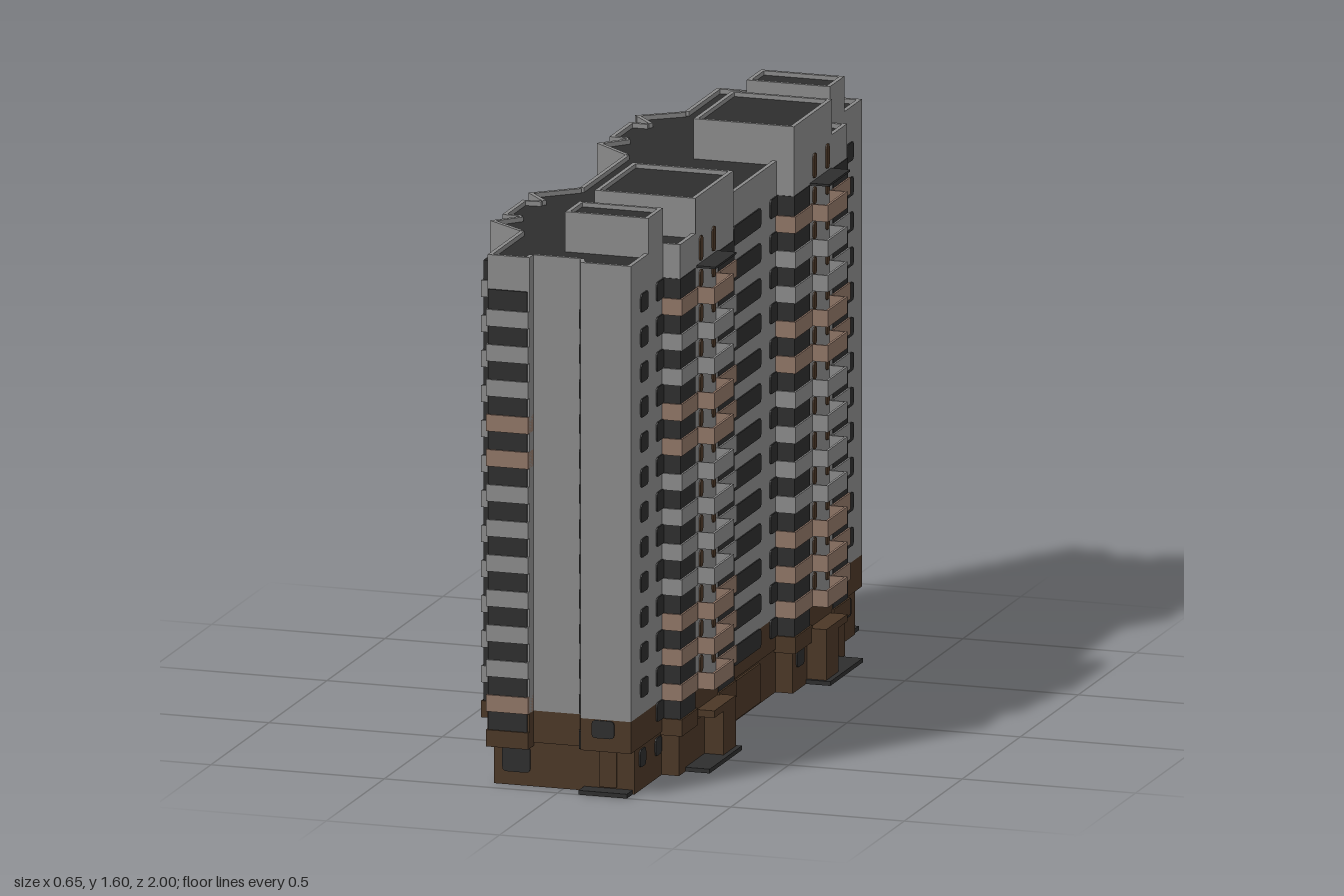
import * as THREE from 'three';
import { mergeGeometries } from 'three/addons/utils/BufferGeometryUtils.js';

const paint = (name, color) => {
  const m = new THREE.MeshStandardMaterial({ color, side: THREE.DoubleSide });
  m.name = name;
  return m;
};

export function createModel() {
  const mats = {
    concrete: paint('concrete grey', 0x8a8a8a),
    dark: paint('glass and roof charcoal', 0x2d2d2d),
    brown: paint('plinth brown', 0x4b3726),
    tan: paint('balcony tan', 0x8f7566),
  };

  // Pieces are gathered by part name and colour, then merged
  const parts = new Map();
  const add = (name, mat, geo) => {
    const key = name + '|' + mat;
    if (!parts.has(key)) parts.set(key, []);
    parts.get(key).push(geo.index ? geo.toNonIndexed() : geo);
  };
  const box = (name, mat, x0, x1, y0, y1, z0, z1) =>
    add(name, mat, new THREE.BoxGeometry(x1 - x0, y1 - y0, z1 - z0)
      .translate((x0 + x1) / 2, (y0 + y1) / 2, (z0 + z1) / 2));
  // Box copied to both ends of the building
  const pair = (name, mat, x0, x1, y0, y1, z0, z1) => {
    box(name, mat, x0, x1, y0, y1, z0, z1);
    box(name, mat, x0, x1, y0, y1, -z1, -z0);
  };

  // Thin plate with rounded corners on a wall, turned by angle about y
  const plate = (name, mat, x, y, z, w, h, angle, r = 0.012) => {
    const s = new THREE.Shape(), a = w / 2, b = h / 2;
    s.moveTo(-a + r, -b).lineTo(a - r, -b).quadraticCurveTo(a, -b, a, -b + r);
    s.lineTo(a, b - r).quadraticCurveTo(a, b, a - r, b);
    s.lineTo(-a + r, b).quadraticCurveTo(-a, b, -a, b - r);
    s.lineTo(-a, -b + r).quadraticCurveTo(-a, -b, -a + r, -b);
    add(name, mat, new THREE.ExtrudeGeometry(s, { depth: 0.008, bevelEnabled: false, curveSegments: 3 })
      .translate(0, 0, -0.004).rotateY(angle).translate(x, y, z));
  };
  const platePair = (name, mat, x, y, z, w, h, angle, r) => {
    plate(name, mat, x, y, z, w, h, angle, r);
    const cos = Math.cos(angle), sin = Math.sin(angle);
    plate(name, mat, x, y, -z, w, h, Math.atan2(sin, -cos), r);
  };

  // Upright walls along a closed outline of [x, z] points
  const walls = (name, mat, pts, y0, y1) => {
    const p = [], uv = [];
    pts.forEach(([ax, az], i) => {
      const [bx, bz] = pts[(i + 1) % pts.length];
      p.push(ax, y0, az, ax, y1, az, bx, y0, bz, ax, y1, az, bx, y1, bz, bx, y0, bz);
      uv.push(0, 0, 0, 1, 1, 0, 0, 1, 1, 1, 1, 0);
    });
    const g = new THREE.BufferGeometry();
    g.setAttribute('position', new THREE.Float32BufferAttribute(p, 3));
    g.setAttribute('uv', new THREE.Float32BufferAttribute(uv, 2));
    g.computeVertexNormals();
    add(name, mat, g);
  };
  const vec = pts => pts.map(([x, z]) => new THREE.Vector2(x, -z));
  const slab = (name, mat, pts, y, hole) => {
    const s = new THREE.Shape(vec(pts));
    if (hole) s.holes.push(new THREE.Path(vec(hole)));
    add(name, mat, new THREE.ShapeGeometry(s).rotateX(-Math.PI / 2).translate(0, y, 0));
  };
  // Raised rim around a flat roof
  const rim = (name, pts, y0, y1, t) => pts.forEach(([ax, az], i) => {
    const [bx, bz] = pts[(i + 1) % pts.length];
    const len = Math.hypot(bx - ax, bz - az);
    add(name, 'concrete', new THREE.BoxGeometry(len, y1 - y0, t).translate(0, 0, -t / 2)
      .rotateY(Math.atan2(bz - az, -(bx - ax)))
      .translate((ax + bx) / 2, (y0 + y1) / 2, (az + bz) / 2));
  });
  const mirror = half => [...half, ...half.map(([x, z]) => [x, -z]).reverse()];

  // Main body and overhanging plinth
  const outline = mirror([
    [0.21, 0.26], [0.26, 0.26], [0.26, 0.72], [0.21, 0.72], [0.21, 0.995], [0.065, 0.995],
    [0.05, 0.955], [-0.085, 0.955], [-0.085, 0.99], [-0.205, 0.99], [-0.205, 0.71],
    [-0.32, 0.625], [-0.255, 0.55], [-0.31, 0.55], [-0.31, 0.375], [-0.255, 0.37],
    [-0.32, 0.295], [-0.205, 0.195],
  ]);
  const foot = mirror([
    [0.205, 0.265], [0.255, 0.265], [0.255, 0.715], [0.205, 0.715], [0.205, 0.95],
    [-0.2, 0.95], [-0.2, 0.69], [-0.25, 0.65], [-0.25, 0.29], [-0.2, 0.215],
  ]);
  walls('mainWalls', 'concrete', outline, 0.215, 1.5);
  walls('plinthUpper', 'brown', outline, 0.125, 0.215);
  walls('plinthLower', 'brown', foot, 0, 0.125);
  slab('plinthSoffit', 'brown', outline, 0.125, foot);
  slab('roof', 'dark', outline, 1.487);
  rim('roofParapet', outline, 1.48, 1.5, 0.012);

  // Rooftop machine rooms
  for (const [x1, za, zb] of [[0.26, 0.26, 0.59], [0.21, 0.72, 0.845]]) {
    for (const s of [1, -1]) {
      const [z0, z1] = s > 0 ? [za, zb] : [-zb, -za];
      const rect = [[x1, z0], [x1, z1], [-0.03, z1], [-0.03, z0]];
      walls('roofRoom', 'concrete', rect, 1.48, 1.6);
      slab('roofRoomTop', 'dark', rect, 1.588);
      rim('roofRoomParapet', rect, 1.58, 1.6, 0.012);
    }
  }
  platePair('roofDoor', 'dark', -0.03, 1.53, 0.425, 0.06, 0.07, -Math.PI / 2, 0.004);
  for (const z of [0.545, 0.435]) platePair('roofRoomWindow', 'brown', 0.26, 1.45, z, 0.026, 0.07, Math.PI / 2);

  const E = Math.PI / 2, W = -Math.PI / 2;
  const tanMany = [1, 2, 3, 8, 9, 12], tanFew = [1, 8, 9];
  const shade = (i, list) => (i === 0 ? 'brown' : list.includes(i) ? 'tan' : 'concrete');

  // Glazed bay: dark band with a solid parapet below it
  const bay = (i, y, x0, x1, z0, z1, list) => {
    const t = 0.005;
    pair('bayGlazing', 'dark', x0, x1, y - 0.028, y + 0.028, z0, z1);
    pair('bayParapet', shade(i, list), x0 - t, x1 + t, y - 0.075, y - 0.028, z0 - t, z1 + t);
  };

  for (let i = 0; i <= 12; i++) {
    const y = 0.19 + 0.0988 * i;
    // Corner loggias and bays on the -x side
    bay(i, y, -0.202, -0.09, 0.9, 0.995, tanFew);
    bay(i, y, -0.318, -0.265, 0.6, 0.688, []);
    bay(i, y, -0.322, -0.25, 0.38, 0.545, tanFew);
    // Corner bays beside the stair balconies
    bay(i, y, 0.2, 0.262, 0.592, 0.722, tanMany);
    bay(i, y, 0.2, 0.262, 0.258, 0.395, tanMany);
    platePair('sideWindow', 'dark', 0.21, y, 0.75, 0.06, 0.054, E);
    platePair('sideWindow', 'dark', 0.21, y, 0.23, 0.06, 0.054, E);
    plate('middleWindow', 'dark', 0.21, y, 0, 0.235, 0.054, E);
    if (i > 0) platePair('endWindow', 'dark', 0.21, y, 0.885, 0.06, 0.052, E);
    // Single windows on the -x side
    for (const z of [0.055, 0.15, 0.79]) platePair('rearWindow', 'dark', -0.205, y, z, 0.055, 0.054, W);
    // Slit windows in the end recess
    platePair('slitWindow', 'dark', 0.0575, y - 0.04, 0.975, 0.02, 0.05, -1.21, 0.003);
    if (i === 0) continue;
    // Stair balconies with small round-topped openings
    const c = shade(i, tanMany), b = y - 0.075, t = b + 0.047;
    pair('balconyFloor', c, 0.255, 0.31, b, b + 0.007, 0.405, 0.575);
    pair('balconyFront', c, 0.303, 0.31, b, t, 0.405, 0.575);
    pair('balconySide', c, 0.255, 0.31, b, t, 0.405, 0.411);
    pair('balconySide', c, 0.255, 0.31, b, t, 0.569, 0.575);
    for (const z of [0.545, 0.435]) platePair('stairOpening', 'brown', 0.26, y - 0.01, z, 0.026, 0.048, E);
  }
  pair('balconyCanopy', 'dark', 0.25, 0.315, 1.402, 1.408, 0.4, 0.58);

  // Ground floor windows, doors and entrances
  for (const z of [0.885, 0.75]) platePair('groundWindow', 'dark', 0.205, 0.09, z, 0.05, 0.05, E);
  platePair('groundWindow', 'dark', 0.255, 0.09, 0.325, 0.06, 0.05, E);
  for (const z of [0.055, 0.15, 0.79]) platePair('groundWindow', 'dark', -0.2, 0.075, z, 0.055, 0.07, W);
  for (const z of [0.36, 0.58]) platePair('groundWindow', 'dark', -0.25, 0.075, z, 0.055, 0.07, W);
  platePair('groundWindow', 'dark', -0.135, 0.075, 0.95, 0.08, 0.075, 0);
  platePair('endPlinthWindow', 'dark', 0.13, 0.188, 0.995, 0.065, 0.05, 0);
  platePair('endDoor', 'brown', 0.13, 0.065, 0.952, 0.05, 0.1, 0, 0.003);
  plate('middleDoor', 'brown', 0.207, 0.062, 0, 0.24, 0.11, E, 0.003);
  pair('entrancePorch', 'brown', 0.25, 0.31, 0, 0.155, 0.39, 0.495);
  pair('porchRoof', 'brown', 0.25, 0.31, 0.135, 0.155, 0.405, 0.575);
  pair('entranceStep', 'dark', 0.25, 0.325, 0, 0.012, 0.38, 0.66);
  pair('rearStep', 'dark', -0.33, -0.245, 0, 0.012, 0.36, 0.56);
  pair('endStep', 'dark', 0.06, 0.2, 0, 0.012, 0.945, 1);

  const group = new THREE.Group();
  group.name = 'apartmentBlock';
  for (const [key, geos] of parts) {
    const [name, mat] = key.split('|');
    const mesh = new THREE.Mesh(mergeGeometries(geos), mats[mat]);
    mesh.name = name;
    group.add(mesh);
  }
  return group;
}
